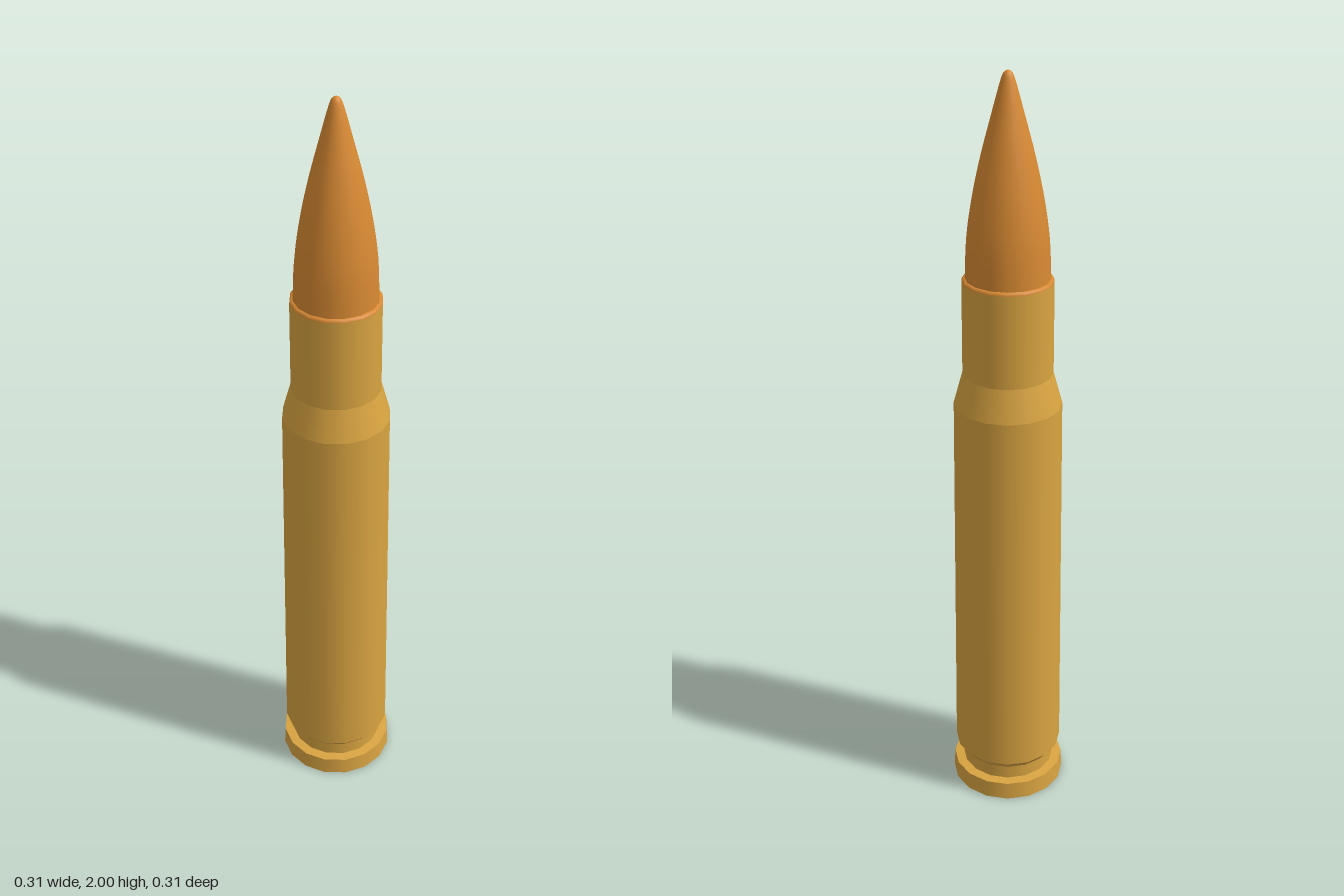
import * as THREE from 'three';

const SIDES = 16;
const FLAT = Math.cos(Math.PI / SIDES); // across-flats to corner radius

const brass = new THREE.MeshStandardMaterial({ color: 0xd9a441 });
const copper = new THREE.MeshStandardMaterial({ color: 0xd98a33 });

// One smooth band of revolution; points are [radius across flats, height], bottom to top
function band(name, points, material) {
  const profile = points.map(([r, y]) => new THREE.Vector2(r / FLAT, y));
  const geometry = new THREE.LatheGeometry(profile, SIDES, Math.PI / SIDES);
  const mesh = new THREE.Mesh(geometry, material);
  mesh.name = name;
  return mesh;
}

export function createModel() {
  const model = new THREE.Group();
  model.name = 'cartridge';

  // Case: corners of the profile, each pair becoming its own hard-edged band
  const corners = [
    [0, 0], [0.153, 0], [0.15, 0.05], [0.125, 0.052], [0.125, 0.09],
    [0.145, 0.115], [0.136, 1.165], [0.113, 1.25], [0.112, 1.492],
  ];
  const names = ['base', 'rim', 'rimTop', 'extractorGroove', 'grooveBevel', 'body', 'shoulder', 'neck'];
  const brassCase = new THREE.Group();
  brassCase.name = 'case';
  names.forEach((name, i) => brassCase.add(band(name, [corners[i], corners[i + 1]], brass)));
  model.add(brassCase);

  // Rounded lip between neck and bullet
  model.add(band('mouthLip', [[0.112, 1.492], [0.111, 1.499], [0.104, 1.5]], copper));

  // Bullet: smooth pointed curve with a small rounded tip
  const ogive = new THREE.SplineCurve([
    [0.104, 1.49], [0.099, 1.6], [0.085, 1.7], [0.064, 1.8],
    [0.038, 1.9], [0.019, 1.97], [0.01, 1.994], [0, 2],
  ].map(([r, y]) => new THREE.Vector2(r, y)));
  const curve = ogive.getPoints(28).map((p) => [Math.max(p.x, 0), Math.min(p.y, 2)]);
  model.add(band('bullet', curve, copper));

  return model;
}
